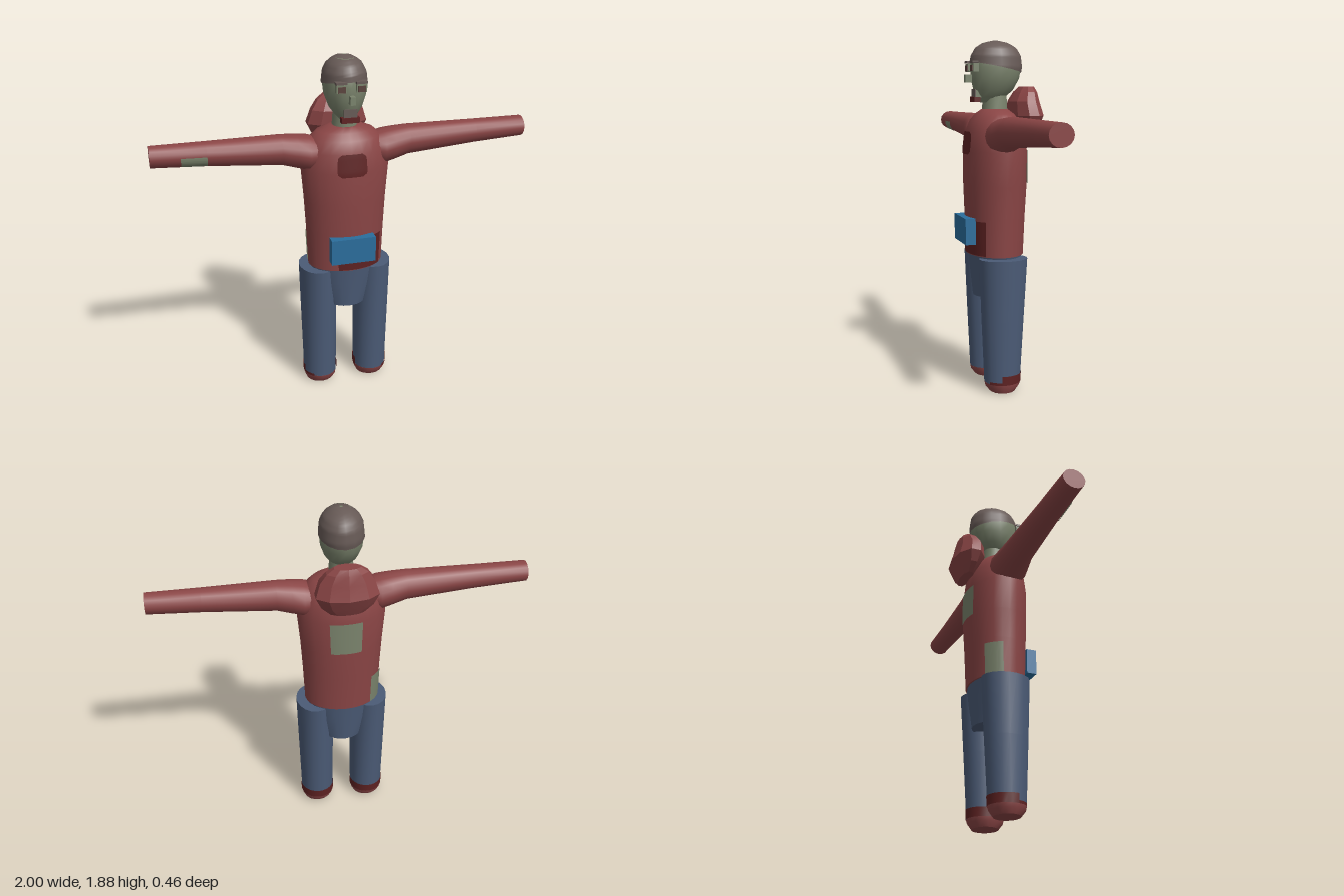
import * as THREE from 'three';
import { toCreasedNormals } from 'three/addons/utils/BufferGeometryUtils.js';

const mat = (name, color, side = THREE.FrontSide) => {
  const m = new THREE.MeshStandardMaterial({ color, side });
  m.name = name;
  return m;
};

// Point on an elliptic body; rings are [y, centreX, centreZ, radiusX, radiusZ]
function surfacePoint(rings, y, angle, offset = 0) {
  let i = 0;
  while (i < rings.length - 2 && y > rings[i + 1][0]) i++;
  const a = rings[i], b = rings[i + 1];
  const t = (y - a[0]) / (b[0] - a[0]);
  const [, cx, cz, rx, rz] = a.map((v, k) => v + (b[k] - v) * t);
  return [cx + (rx + offset) * Math.sin(angle), y, cz + (rz + offset) * Math.cos(angle)];
}

function gridGeometry(rows, caps, crease) {
  const pos = rows.flat(2), index = [], n = rows[0].length;
  for (let j = 0; j < rows.length - 1; j++) {
    for (let i = 0; i < n - 1; i++) {
      const a = j * n + i, b = a + 1, c = a + n, d = c + 1;
      index.push(a, b, d, a, d, c);
    }
  }
  if (caps) {
    const last = (rows.length - 1) * n;
    for (let i = 1; i < n - 2; i++) {
      index.push(0, i + 1, i);
      index.push(last, last + i, last + i + 1);
    }
  }
  const g = new THREE.BufferGeometry();
  g.setAttribute('position', new THREE.Float32BufferAttribute(pos, 3));
  g.setIndex(index);
  return toCreasedNormals(g, crease);
}

// Closed body through the rings
function loft(rings, sides, crease = 0.7) {
  const rows = rings.map((r) => Array.from({ length: sides + 1 }, (_, i) =>
    surfacePoint(rings, r[0], (i % sides) / sides * Math.PI * 2)));
  return gridGeometry(rows, true, crease);
}

// Thin painted area that follows a body; low(angle) gives its lower edge
function patch(rings, a0, a1, low, high, offset = 0.004, nu = 12, nv = 6) {
  const rows = [];
  for (let j = 0; j <= nv; j++) {
    rows.push(Array.from({ length: nu + 1 }, (_, i) => {
      const a = a0 + (a1 - a0) * i / nu;
      const y0 = typeof low === 'function' ? low(a) : low;
      return surfacePoint(rings, y0 + (high - y0) * j / nv, a, offset);
    }));
  }
  return gridGeometry(rows, false, 0.7);
}

export function createModel() {
  const group = new THREE.Group();
  const D = THREE.DoubleSide;
  const shirt = mat('shirt red', 0x8a4545);
  const jeans = mat('denim blue', 0x4b5b76);
  const skin = mat('pale green skin', 0x7a836c, D);
  const hair = mat('hair brown', 0x675a56, D);
  const stain = mat('dark red', 0x5e2222, D);
  const blue = mat('pouch blue', 0x2b6e9c);
  const eye = mat('eye brown', 0x5a423c);

  const add = (name, geometry, material) => {
    const m = new THREE.Mesh(geometry, material);
    m.name = name;
    group.add(m);
    return m;
  };
  const box = (name, material, w, h, d, x, y, z) =>
    add(name, new THREE.BoxGeometry(w, h, d).translate(x, y, z), material);

  // Torso
  const torso = [
    [0.74, 0, 0.037, 0.205, 0.152], [0.95, 0, 0.036, 0.213, 0.16], [1.12, 0, 0.034, 0.222, 0.168],
    [1.3, 0, 0.034, 0.237, 0.166], [1.4, 0, 0.034, 0.222, 0.155], [1.46, 0, 0.035, 0.188, 0.13],
    [1.495, 0, 0.035, 0.15, 0.1], [1.52, 0, 0.035, 0.08, 0.07],
  ];
  add('torso', loft(torso, 24), shirt);
  add('backTear', patch(torso, Math.PI - 0.37, Math.PI + 0.37, 1.12, 1.3), skin);
  add('sideTear', patch(torso, Math.PI + 0.75, Math.PI + 1.35, 0.745, 0.92), skin);
  add('hemStain', patch(torso, -0.35, 0.92, (a) => 0.745, 0.93), stain);

  // Chest stain with rounded corners, bent onto the shirt
  const chest = [];
  for (let j = 0; j <= 8; j++) {
    const v = j / 4 - 1;
    const half = 0.34 * Math.pow(1 - Math.pow(Math.abs(v), 6) * 0.75, 0.25);
    chest.push(Array.from({ length: 11 }, (_, i) =>
      surfacePoint(torso, 1.342 + v * 0.06, (i / 5 - 1) * half, 0.004)));
  }
  add('chestStain', gridGeometry(chest, false, 0.7), stain);
  box('beltPouch', blue, 0.24, 0.14, 0.055, 0, 0.875, 0.203);

  // Hood hanging at the back
  add('hood', loft([
    [1.38, 0, -0.142, 0.09, 0.034], [1.425, 0, -0.14, 0.14, 0.06], [1.485, 0, -0.138, 0.17, 0.09],
    [1.56, 0, -0.128, 0.145, 0.078], [1.61, 0, -0.138, 0.11, 0.058], [1.64, 0, -0.145, 0.07, 0.036],
  ], 10, 0.3), shirt);

  // Arms, built upright and turned out sideways
  for (const side of [1, -1]) {
    const prefix = side > 0 ? 'left' : 'right';
    const rings = [
      [0.14, 1.385, 0.038, 0.075, 0.09], [0.2, 1.385, 0.038, 0.092, 0.108], [0.26, 1.396, 0.038, 0.088, 0.098],
      [0.34, 1.41, 0.038, 0.079, 0.084], [0.72, 1.423, 0.037, 0.063, 0.066], [1, 1.43, 0.037, 0.055, 0.06],
    ].map(([l, y, ...rest]) => [l, -side * y, ...rest]);
    add(prefix + 'Arm', loft(rings, 16).rotateZ(-side * Math.PI / 2), shirt);
    if (side < 0) {
      add('forearmTear', patch(rings, -0.85, 0.05, 0.72, 0.85).rotateZ(Math.PI / 2), skin);
    }
  }

  // Pelvis
  add('pelvis', loft([
    [0.505, 0, 0.034, 0.122, 0.122], [0.65, 0, 0.034, 0.178, 0.134], [0.742, 0, 0.035, 0.202, 0.142],
  ], 20), jeans);

  // Legs and boots
  for (const side of [1, -1]) {
    const prefix = side > 0 ? 'left' : 'right';
    const leg = [[0.05, side * 0.148, 0.038, 0.092, 0.098], [0.4, side * 0.15, 0.036, 0.098, 0.116],
      [0.73, side * 0.154, 0.033, 0.101, 0.132]];
    add(prefix + 'Leg', loft(leg, 18), jeans);
    add(prefix + 'Boot', loft([[0, side * 0.148, 0.038, 0.076, 0.07],
      [0.03, side * 0.148, 0.038, 0.09, 0.094], [0.052, side * 0.148, 0.038, 0.0925, 0.0985]], 18), shirt);
    add(prefix + 'Cuff', patch(leg, 1.3, Math.PI * 2 - 1.3, 0.05, 0.1, 0.003, 20, 1), stain);
    add(prefix + 'CuffFront', patch(leg, side * 0.6, side * 1.3, 0.05, 0.065, 0.003, 5, 1), stain);
  }

  // Head, neck and hair
  const head = [
    [1.555, 0, 0.075, 0.035, 0.04], [1.585, 0, 0.055, 0.06, 0.08], [1.62, 0, 0.042, 0.086, 0.108],
    [1.68, 0, 0.033, 0.107, 0.133], [1.74, 0, 0.028, 0.113, 0.14], [1.8, 0, 0.028, 0.106, 0.133],
    [1.84, 0, 0.028, 0.086, 0.11], [1.868, 0, 0.03, 0.05, 0.066], [1.881, 0, 0.03, 0.004, 0.004],
  ];
  add('head', loft(head, 16, 0.9), skin);
  add('neck', loft([[1.49, 0, 0.033, 0.068, 0.07], [1.6, 0, 0.035, 0.06, 0.066]], 14), skin);
  add('hair', patch(head, 0, Math.PI * 2, (a) => 1.74 + 0.028 * Math.cos(a), 1.881, 0.005, 16, 14), hair);

  // Face
  for (const side of [1, -1]) {
    const prefix = side > 0 ? 'left' : 'right';
    box(prefix + 'EyeSocket', skin, 0.054, 0.042, 0.03, side * 0.052, 1.738, 0.158);
    box(prefix + 'Eye', eye, 0.04, 0.03, 0.006, side * 0.052, 1.735, 0.175);
    box(prefix + 'Brow', hair, 0.058, 0.012, 0.034, side * 0.052, 1.767, 0.162);
  }
  box('nose', skin, 0.026, 0.042, 0.036, 0, 1.681, 0.181);
  box('upperLip', skin, 0.07, 0.04, 0.04, 0, 1.6, 0.128);
  box('moustache', hair, 0.07, 0.042, 0.006, 0, 1.606, 0.15);
  box('mouth', stain, 0.095, 0.028, 0.032, 0, 1.571, 0.142);
  return group;
}
